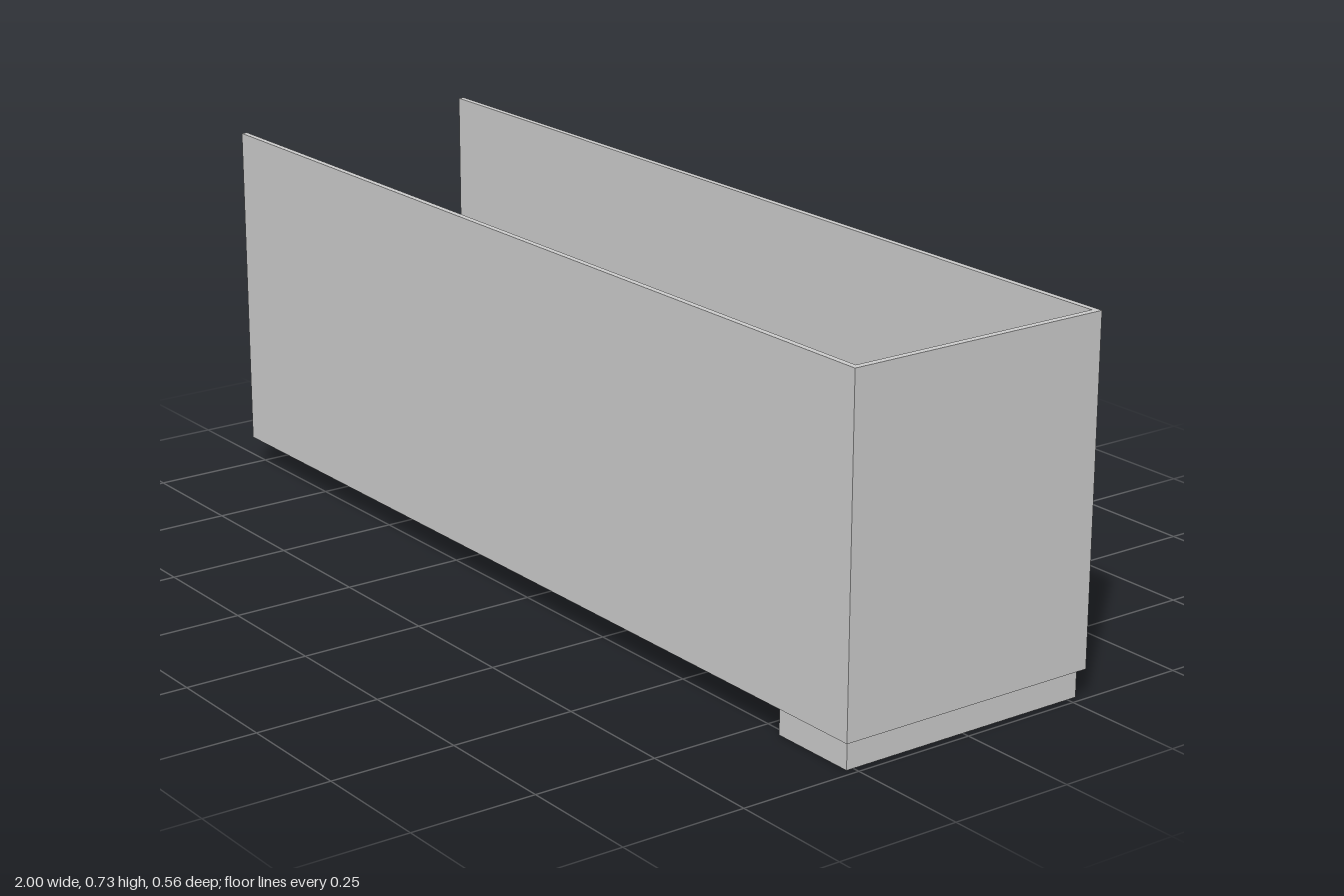
import * as THREE from 'three';

const grey = new THREE.MeshStandardMaterial({ color: 0xcccccc, side: THREE.DoubleSide });
const flat = new THREE.MeshStandardMaterial({ color: 0xcccccc, side: THREE.DoubleSide, flatShading: true });
const FLOOR = 0.06;

function add(parent, name, geometry, x = 0, y = 0, z = 0, material = grey) {
  const mesh = new THREE.Mesh(geometry, material);
  mesh.name = name;
  mesh.position.set(x, y, z);
  parent.add(mesh);
  return mesh;
}

// Box given by its lower and upper limits
function box(parent, name, x0, x1, y0, y1, z0, z1) {
  return add(parent, name, new THREE.BoxGeometry(x1 - x0, y1 - y0, z1 - z0),
    (x0 + x1) / 2, (y0 + y1) / 2, (z0 + z1) / 2);
}

// Skin over rectangular sections [x0, x1, z0, z1, y], capped at both ends
function loftRectangles(sections) {
  const rings = sections.map(([x0, x1, z0, z1, y]) =>
    [[x0, y, z1], [x1, y, z1], [x1, y, z0], [x0, y, z0]]);
  const points = [];
  const quad = (a, b, c, d) => points.push(...a, ...b, ...c, ...a, ...c, ...d);
  for (let r = 0; r < rings.length - 1; r++) {
    for (let i = 0; i < 4; i++) {
      const j = (i + 1) % 4;
      quad(rings[r][i], rings[r][j], rings[r + 1][j], rings[r + 1][i]);
    }
  }
  quad(...[...rings[0]].reverse());
  quad(...rings[rings.length - 1]);
  const geometry = new THREE.BufferGeometry();
  geometry.setAttribute('position', new THREE.Float32BufferAttribute(points, 3));
  geometry.computeVertexNormals();
  return geometry;
}

const lathe = (profile, segments, start = 0, sweep = Math.PI * 2) =>
  new THREE.LatheGeometry(profile.map(([r, y]) => new THREE.Vector2(r, y)), segments, start, sweep);

function rod(parent, name, from, to, radius) {
  const path = new THREE.LineCurve3(new THREE.Vector3(...from), new THREE.Vector3(...to));
  return add(parent, name, new THREE.TubeGeometry(path, 1, radius, 10));
}

function createToilet() {
  const toilet = new THREE.Group();
  toilet.name = 'toilet';
  box(toilet, 'toiletTank', -0.045, 0.045, 0.08, 0.155, -0.09, -0.054);
  box(toilet, 'tankLid', -0.048, 0.048, 0.155, 0.163, -0.092, -0.051);
  box(toilet, 'tankSupport', -0.025, 0.025, 0.03, 0.08, -0.085, -0.02);
  const bowl = add(toilet, 'toiletBowl', lathe([[0, -0.005], [0.026, -0.005], [0.024, 0.03],
    [0.04, 0.07], [0.042, 0.083], [0.029, 0.083], [0.02, 0.055], [0, 0.045]], 20), 0, 0, 0, flat);
  bowl.scale.z = 1.15;
  const seat = add(toilet, 'toiletSeat', new THREE.TorusGeometry(0.035, 0.006, 8, 24), 0, 0.085, 0);
  seat.rotation.x = Math.PI / 2;
  seat.scale.y = 1.15;
  return toilet;
}

function createSink() {
  const sink = new THREE.Group();
  sink.name = 'sink';
  // Half-round bowl and pedestal, flat side on the front wall
  const half = [16, Math.PI / 2, Math.PI];
  add(sink, 'sinkBowl', lathe([[0, 0.10], [0.022, 0.105], [0.052, 0.135], [0.06, 0.165],
    [0.05, 0.165], [0.042, 0.14], [0.015, 0.125], [0, 0.125]], ...half), 0, 0, 0, flat);
  add(sink, 'sinkPedestal', lathe([[0, -0.004], [0.03, -0.004], [0.02, 0.03], [0.022, 0.11]], ...half));
  box(sink, 'sinkBack', -0.055, 0.055, 0.11, 0.17, -0.008, 0.002);
  const spout = new THREE.QuadraticBezierCurve3(new THREE.Vector3(0, 0.165, -0.006),
    new THREE.Vector3(0, 0.2, -0.015), new THREE.Vector3(0, 0.178, -0.032));
  add(sink, 'sinkTap', new THREE.TubeGeometry(spout, 8, 0.004, 8));
  for (const side of [-1, 1]) {
    add(sink, 'tapHandle', new THREE.CylinderGeometry(0.005, 0.005, 0.018, 8), side * 0.025, 0.177, -0.008);
  }
  return sink;
}

function createShower() {
  const shower = new THREE.Group();
  shower.name = 'bathArea';
  add(shower, 'bathtub', loftRectangles([
    [0.8, 0.985, -0.27, 0.265, 0],
    [0.8, 0.985, -0.27, 0.265, 0.13],
    [0.815, 0.97, -0.245, 0.237, 0.13],
    [0.82, 0.965, -0.24, 0.23, 0.12],
    [0.825, 0.957, -0.235, 0.17, 0.02],
  ]));
  // Sloping curtain rail
  const start = [0.805, 0.43, -0.267], end = [0.835, 0.58, 0.235];
  rod(shower, 'curtainRail', start, end, 0.006);
  // Curtain hanging from the rail in soft folds
  const curtain = new THREE.PlaneGeometry(1, 1, 48, 6);
  const p = curtain.attributes.position;
  for (let i = 0; i < p.count; i++) {
    const u = p.getX(i) + 0.5, v = p.getY(i) + 0.5;
    const z = -0.235 + 0.3 * u;
    const top = start[1] + (end[1] - start[1]) * (z - start[2]) / (end[2] - start[2]);
    const fold = 0.011 * Math.sin(u * Math.PI * 8);
    p.setXYZ(i, 0.797 + fold, 0.09 + (top - 0.09) * v, z);
  }
  curtain.computeVertexNormals();
  add(shower, 'curtain', curtain);
  return shower;
}

export function createModel() {
  const model = new THREE.Group();
  model.name = 'bathroom';

  // Room shell, open at the top and at the right end
  box(model, 'floor', -1, 1, 0.058, FLOOR, -0.278, 0.278);
  for (const side of [-1, 1]) {
    const wall = box(model, side < 0 ? 'backWall' : 'frontWall', -1, 1, 0.058, 0.73, -0.006, 0.006);
    wall.position.z = side * 0.272;
  }
  box(model, 'endWall', 0.987, 1, 0.058, 0.73, -0.268, 0.268);

  // Door on the back wall
  box(model, 'door', 0.26, 0.47, FLOOR, 0.46, -0.268, -0.261);

  const toilet = createToilet();
  toilet.position.set(0.595, FLOOR, -0.173);
  const sink = createSink();
  sink.position.set(0.533, FLOOR, 0.264);
  model.add(toilet, sink, createShower());
  return model;
}
